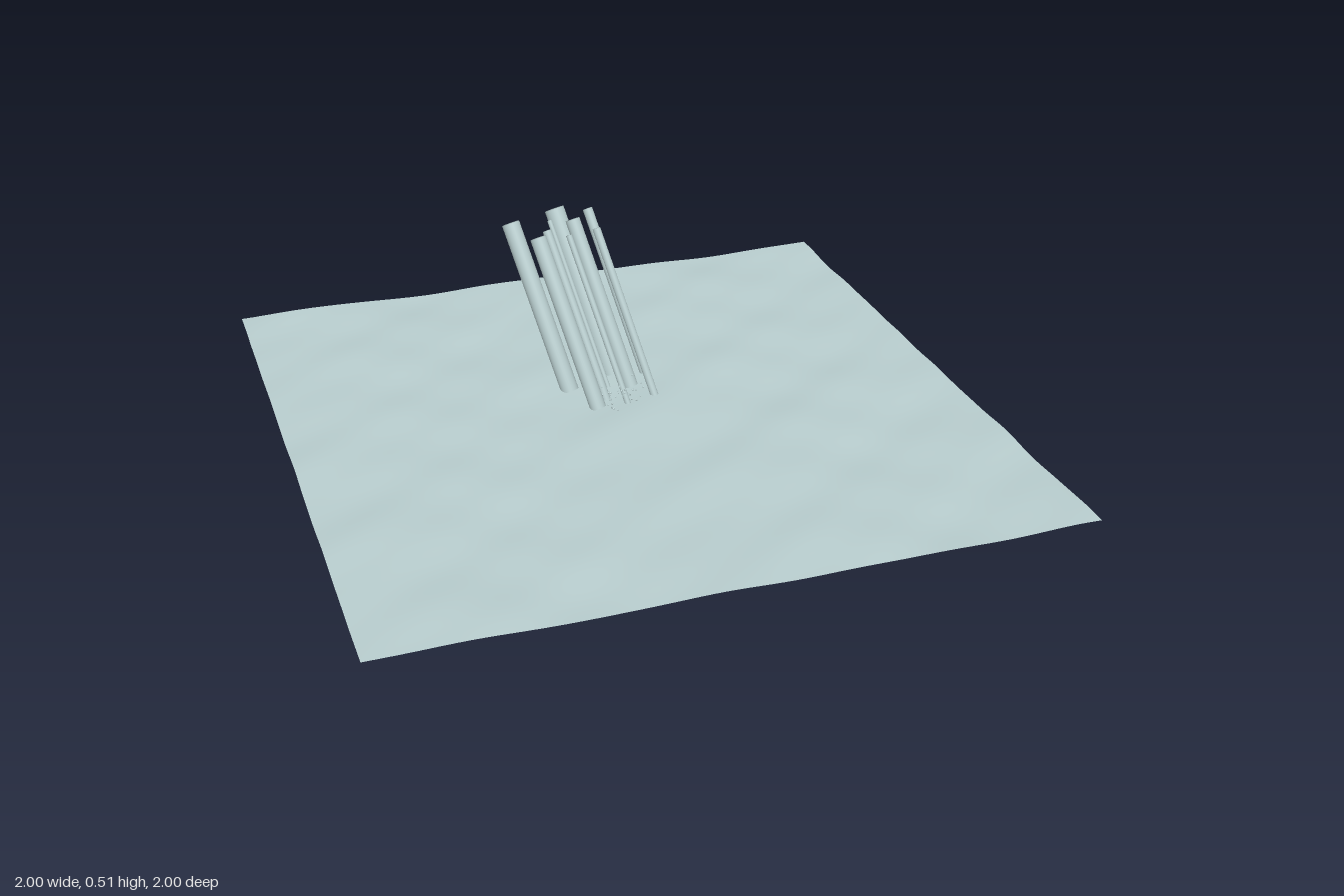
import * as THREE from 'three';
import { mergeVertices } from 'three/addons/utils/BufferGeometryUtils.js';

const UP = new THREE.Vector3(0, 1, 0);
const LEAN = new THREE.Vector3(-0.118, 0.485, -0.203); // base centre to top centre of every column

// Top centre x, z and radius of each column
const COLUMNS = [
  [-0.242, -0.385, 0.027],
  [-0.195, -0.25, 0.024],
  [-0.085, -0.455, 0.03],
  [0.012, -0.425, 0.015],
  [-0.057, -0.355, 0.022],
  [-0.125, -0.37, 0.007],
  [-0.155, -0.295, 0.013],
  [-0.01, -0.265, 0.012],
  [-0.103, -0.24, 0.009],
];

// Seeded random numbers between 0 and 1
function makeRandom(seed) {
  return () => {
    seed = (seed * 16807) % 2147483647;
    return seed / 2147483647;
  };
}

// Gentle ripples, slightly stretched along one diagonal
function groundHeight(x, z) {
  return 0.024
    + 0.0025 * Math.sin(7 * x + 13 * z + 1.2)
    + 0.002 * Math.sin(11 * x + 5 * z + 2 * Math.sin(4 * z))
    + 0.0015 * Math.sin(17 * z - 6 * x + 1.5 * Math.sin(6 * x))
    + 0.001 * Math.sin(19 * x + 27 * z + 0.7);
}

function makeGround(material) {
  const geometry = new THREE.PlaneGeometry(2, 2, 100, 100).rotateX(-Math.PI / 2);
  const p = geometry.attributes.position;
  for (let i = 0; i < p.count; i++) p.setY(i, groundHeight(p.getX(i), p.getZ(i)));
  geometry.computeVertexNormals();
  const mesh = new THREE.Mesh(geometry, material);
  mesh.name = 'rippledGround';
  return mesh;
}

// Cylinder with shading that rolls softly over its rims
function makeColumn([x, z, radius], material) {
  let geometry = new THREE.CylinderGeometry(radius, radius, LEAN.length(), 24);
  geometry.deleteAttribute('normal');
  geometry.deleteAttribute('uv');
  geometry = mergeVertices(geometry);
  geometry.computeVertexNormals();
  const mesh = new THREE.Mesh(geometry, material);
  mesh.name = 'leaningColumn';
  mesh.position.set(x, 0.503, z).addScaledVector(LEAN, -0.5);
  mesh.quaternion.setFromUnitVectors(UP, LEAN.clone().normalize());
  return mesh;
}

// Tiny chips: a cluster at the centre and a few among the columns
function makeDebris(material) {
  const group = new THREE.Group();
  group.name = 'debris';
  const random = makeRandom(41);
  const chip = new THREE.IcosahedronGeometry(1, 0);
  for (let i = 0; i < 34; i++) {
    const mesh = new THREE.Mesh(chip, material);
    mesh.name = 'chip';
    if (i < 24) {
      mesh.position.set(-0.055 + 0.09 * random(), 0.03 + 0.06 * random(), -0.035 + 0.07 * random());
    } else {
      mesh.position.set(-0.08 + 0.16 * random(), 0.03 + 0.05 * random(), -0.17 + 0.12 * random());
    }
    mesh.scale.setScalar(0.002 + 0.0025 * random());
    mesh.rotation.set(3 * random(), 3 * random(), 3 * random());
    group.add(mesh);
  }
  return group;
}

export function createModel() {
  const paleTeal = new THREE.MeshStandardMaterial({ color: 0xb8cdce, side: THREE.DoubleSide });
  paleTeal.name = 'paleTeal';

  const model = new THREE.Group();
  model.name = 'leaningColumnsOnGround';
  const columns = new THREE.Group();
  columns.name = 'columns';
  for (const column of COLUMNS) columns.add(makeColumn(column, paleTeal));
  model.add(makeGround(paleTeal), columns, makeDebris(paleTeal));
  return model;
}
